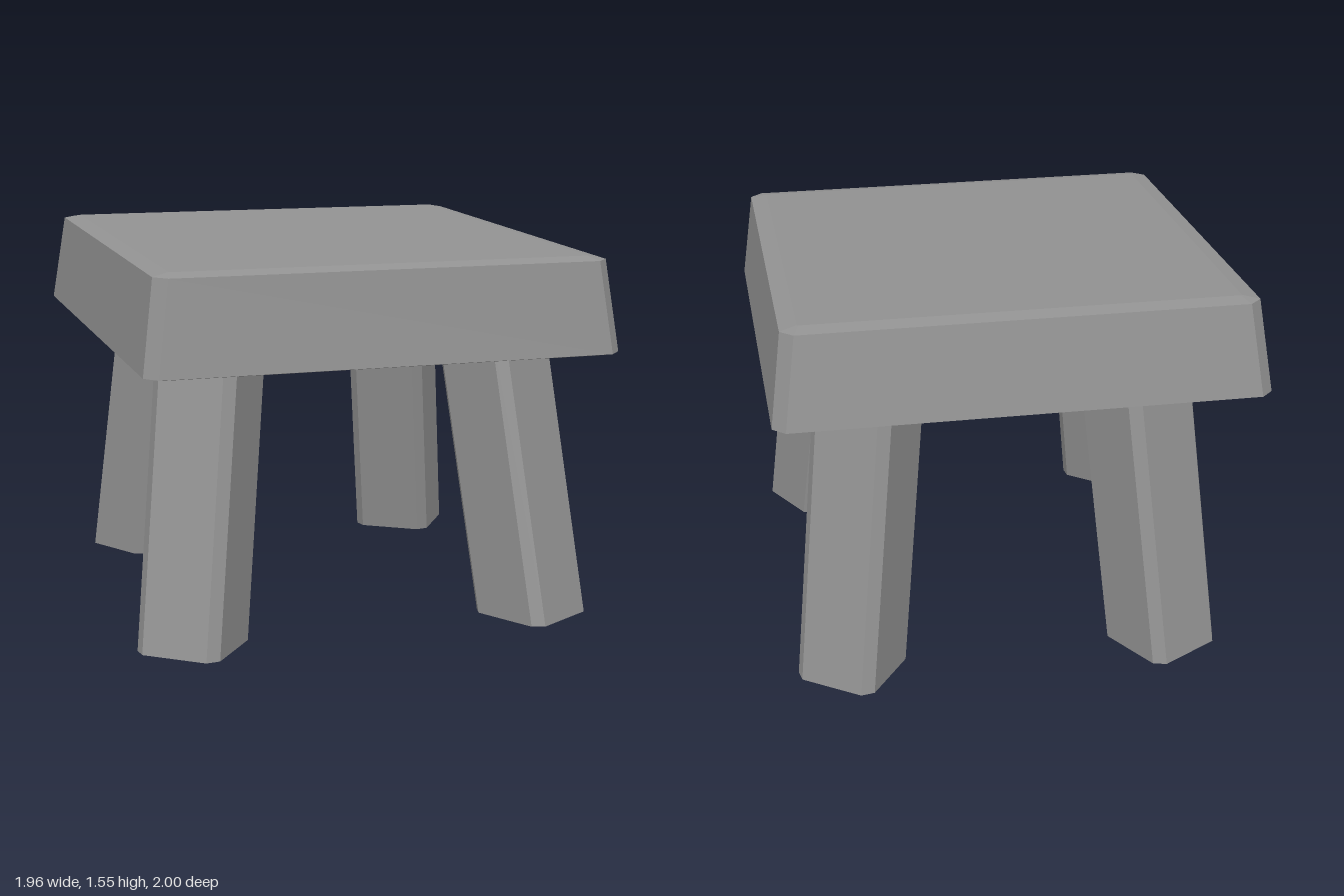
import * as THREE from 'three';

// Square of half-width h with corners cut by c, as [x, z] pairs
function cutSquare(h, c) {
  const k = h - c;
  return [[h, -k], [h, k], [k, h], [-k, h], [-h, k], [-h, -k], [-k, -h], [k, -h]];
}

// Join cross-sections (bottom to top) and close both ends
function loft(loops) {
  const pos = [];
  const tri = (a, b, c) => pos.push(...a, ...b, ...c);
  const n = loops[0].length;
  for (let l = 0; l < loops.length - 1; l++) {
    const a = loops[l], b = loops[l + 1];
    for (let i = 0; i < n; i++) {
      const j = (i + 1) % n;
      tri(a[i], b[i], b[j]);
      tri(a[i], b[j], a[j]);
    }
  }
  const low = loops[0], top = loops[loops.length - 1];
  for (let i = 1; i < n - 1; i++) {
    tri(low[0], low[i], low[i + 1]);
    tri(top[0], top[i + 1], top[i]);
  }
  const geo = new THREE.BufferGeometry();
  geo.setAttribute('position', new THREE.Float32BufferAttribute(pos, 3));
  geo.computeVertexNormals();
  return geo;
}

export function createModel() {
  const group = new THREE.Group();
  const material = new THREE.MeshStandardMaterial({ color: 0x929292, flatShading: true });
  const add = (name, geo) => {
    const mesh = new THREE.Mesh(geo, material);
    mesh.name = name;
    group.add(mesh);
    return mesh;
  };

  // Seat: tapered slab with bevelled edges, tilted up at the back
  const rings = [
    // height, half-width, corner cut
    [-0.209, 0.9, 0.005],
    [-0.19, 0.978, 0.05],
    [0.18, 0.928, 0.05],
    [0.193, 0.86, 0.005],
  ];
  const seat = add('seat', loft(rings.map(([y, h, c]) => cutSquare(h, c).map(([x, z]) => [x, y, z]))));
  seat.position.set(0, 1.331, 0.016);
  seat.rotation.x = 0.035;

  // Legs: bevelled square posts, twisted and leaning inwards, cut flat at the floor
  const legTop = 1.25;
  const legs = [
    // name, foot x, foot z, twist in degrees, lean in x and z per unit height
    ['frontLeftLeg', 0.692, 0.777, 29, -0.104, -0.156],
    ['frontRightLeg', -0.76, 0.775, -39, 0.115, -0.156],
    ['backLeftLeg', 0.695, -0.78, -35, -0.104, 0.155],
    ['backRightLeg', -0.613, -0.778, 30, 0.09, 0.155],
  ];
  for (const [name, fx, fz, twist, lx, lz] of legs) {
    const a = THREE.MathUtils.degToRad(twist);
    const section = (y) => cutSquare(0.176, 0.04).map(([x, z]) => [
      fx + lx * y + x * Math.cos(a) + z * Math.sin(a),
      y,
      fz + lz * y + z * Math.cos(a) - x * Math.sin(a),
    ]);
    add(name, loft([section(0), section(legTop)]));
  }
  return group;
}
